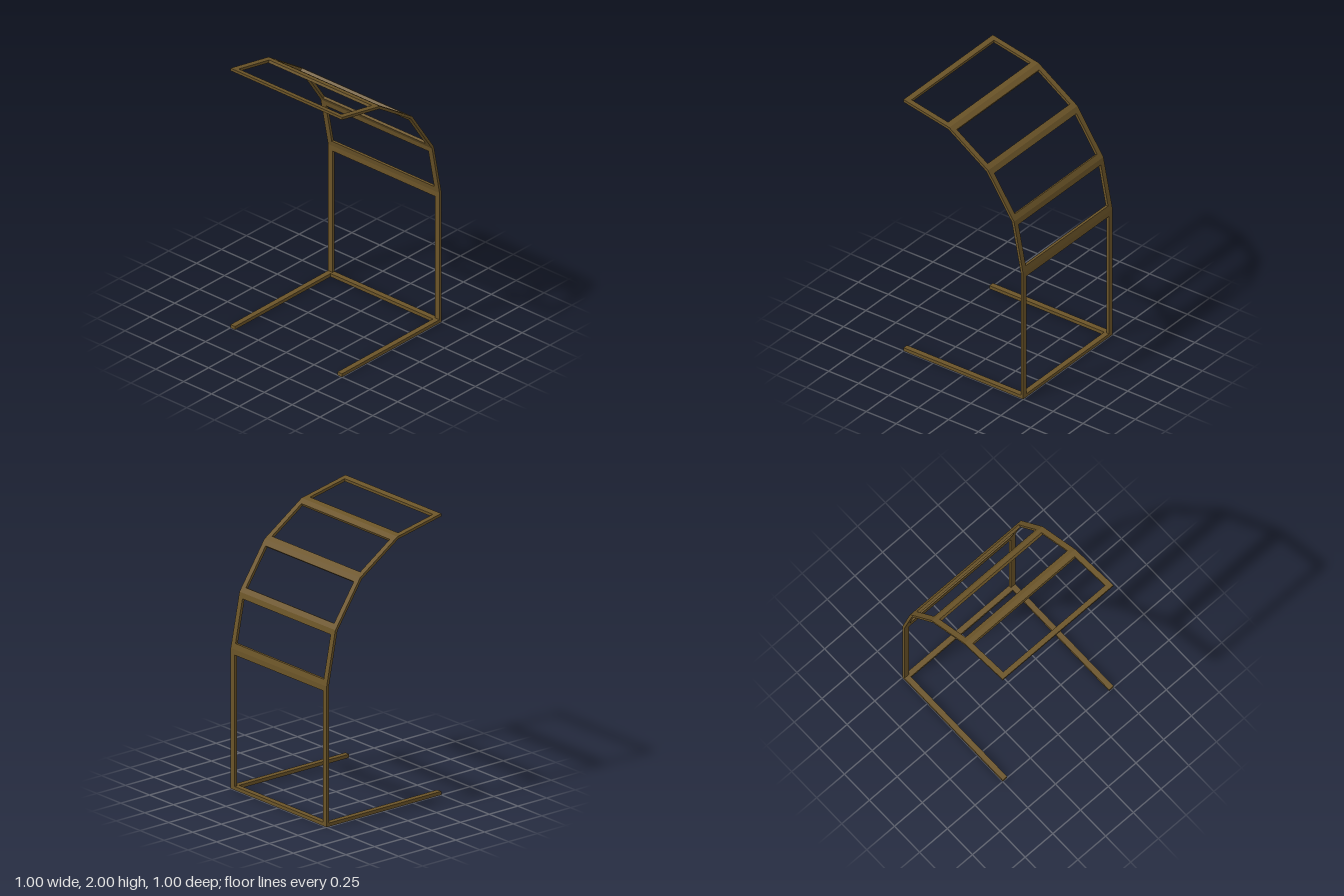
import * as THREE from 'three';

const HALF = 0.5;   // half depth along z
const BAR = 0.04;   // face width of every bar
const THICK = 0.02; // thickness of the panels

export function createModel() {
  const model = new THREE.Group();
  const material = new THREE.MeshStandardMaterial({ color: 0x6b5428 });

  // Extrude a quad in the xy plane from z0 to z1
  const bar = (parent, name, points, z0, z1) => {
    const shape = new THREE.Shape(points);
    const geometry = new THREE.ExtrudeGeometry(shape, { depth: z1 - z0, bevelEnabled: false });
    geometry.translate(0, 0, z0);
    const mesh = new THREE.Mesh(geometry, material);
    mesh.name = name;
    parent.add(mesh);
  };
  const sideRails = (parent, name, points) => {
    bar(parent, name + 'Front', points, HALF - BAR, HALF);
    bar(parent, name + 'Back', points, -HALF, -HALF + BAR);
  };
  const crossBar = (parent, name, points) => bar(parent, name, points, -HALF + BAR, HALF - BAR);
  const rect = (x0, y0, x1, y1) => [
    new THREE.Vector2(x0, y0), new THREE.Vector2(x1, y0),
    new THREE.Vector2(x1, y1), new THREE.Vector2(x0, y1),
  ];

  // Floor frame, open at the far end
  const floor = new THREE.Group();
  floor.name = 'floorFrame';
  sideRails(floor, 'floorRail', rect(-0.5, 0, 0.5 - THICK, 0.025));
  crossBar(floor, 'floorCrossBar', rect(0.5 - BAR, 0, 0.5, 0.025));
  model.add(floor);

  // Upright frame
  const wall = new THREE.Group();
  wall.name = 'wallFrame';
  sideRails(wall, 'post', rect(0.5 - THICK, 0, 0.5, 1));
  crossBar(wall, 'wallTopBar', rect(0.5 - THICK, 1 - BAR, 0.5, 1));
  model.add(wall);

  // Four mitred roof panels following a quarter circle
  const arcPoint = (i, radius) => {
    const a = (i * Math.PI) / 8;
    return new THREE.Vector2(-0.5 + radius * Math.cos(a), 1 + radius * Math.sin(a));
  };
  for (let i = 0; i < 4; i++) {
    const panel = new THREE.Group();
    panel.name = 'roofPanel' + (i + 1);
    const [outA, outB] = [arcPoint(i, 1), arcPoint(i + 1, 1)];
    const [inA, inB] = [arcPoint(i, 1 - THICK), arcPoint(i + 1, 1 - THICK)];
    // Slice of the panel between fractions s and t of its length
    const slice = (s, t) => [
      inA.clone().lerp(inB, s), outA.clone().lerp(outB, s),
      outA.clone().lerp(outB, t), inA.clone().lerp(inB, t),
    ];
    const f = BAR / outA.distanceTo(outB);
    sideRails(panel, 'roofRail', slice(0, 1));
    crossBar(panel, 'lowerCrossBar', slice(0, f));
    crossBar(panel, 'upperCrossBar', slice(1 - f, 1));
    model.add(panel);
  }
  return model;
}
